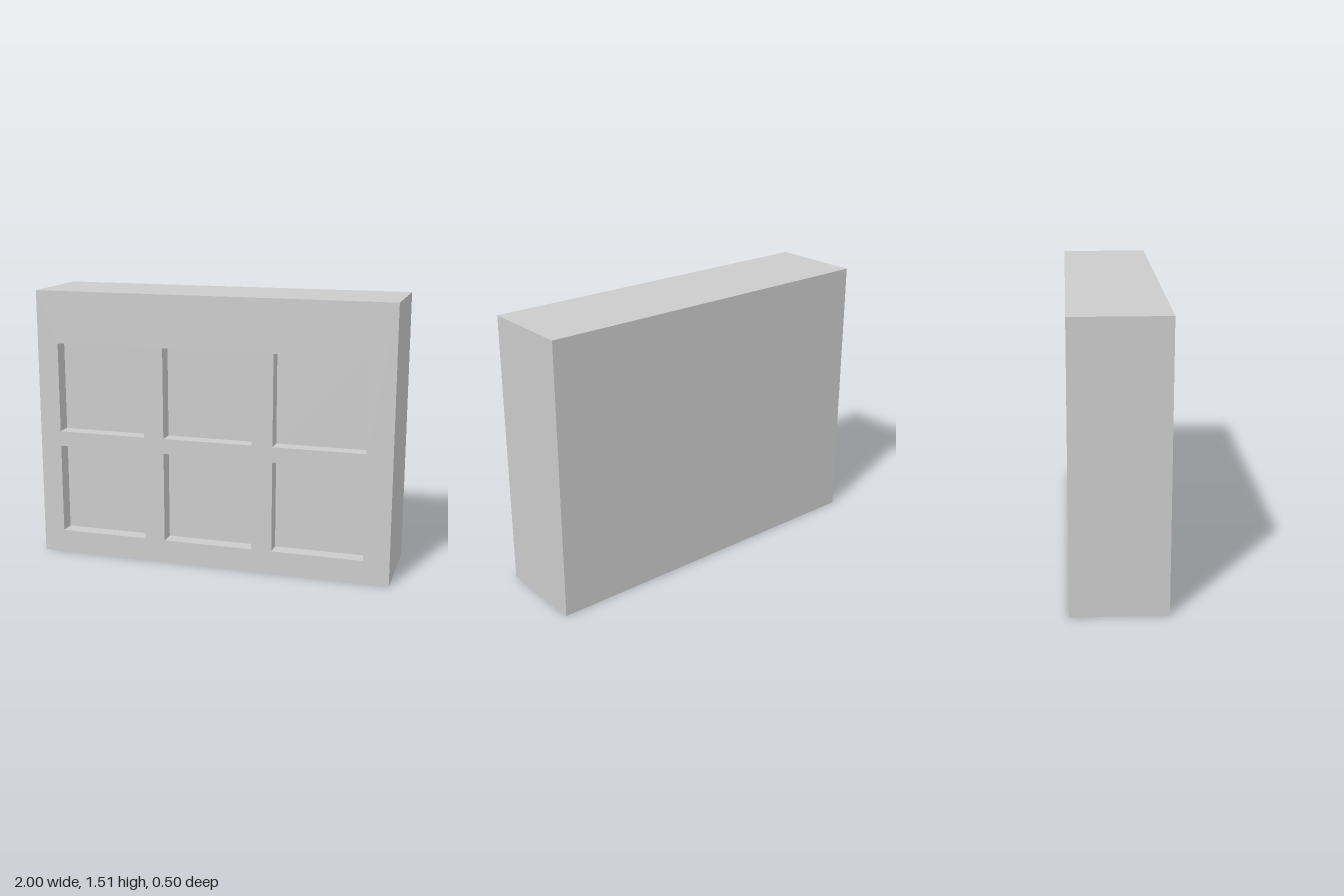
import * as THREE from 'three';
import { mergeGeometries } from 'three/addons/utils/BufferGeometryUtils.js';

const WIDTH = 2, HEIGHT = 1.51, DEPTH = 0.5, FRONT = DEPTH / 2;
const PANE = 0.503, RECESS = 0.085;
const COLUMNS = [-0.629, -0.012, 0.606];
const ROWS = [0.38, 0.968];

// Box with only the listed faces (0..5 = +x, -x, +y, -y, +z, -z), optionally turned inside out
function partialBox(w, h, d, faces, inward = false) {
  const geo = new THREE.BoxGeometry(w, h, d);
  const all = Array.from(geo.index.array);
  const index = faces.flatMap((f) => all.slice(f * 6, f * 6 + 6));
  geo.setIndex(inward ? index.reverse() : index);
  if (inward) geo.computeVertexNormals();
  return geo;
}

function rectangle(target, cx, cy, w, h) {
  target.moveTo(cx - w / 2, cy - h / 2);
  target.lineTo(cx + w / 2, cy - h / 2);
  target.lineTo(cx + w / 2, cy + h / 2);
  target.lineTo(cx - w / 2, cy + h / 2);
  target.closePath();
  return target;
}

export function createModel() {
  const group = new THREE.Group();
  group.name = 'windowBlock';
  const bodyMaterial = new THREE.MeshStandardMaterial({ color: 0xcccccc });
  const paneMaterial = new THREE.MeshStandardMaterial({ color: 0xf3f3f3 });

  // Sides, top, bottom and back of the block
  const parts = [partialBox(WIDTH, HEIGHT, DEPTH, [0, 1, 2, 3, 5]).translate(0, HEIGHT / 2, 0)];
  const front = rectangle(new THREE.Shape(), 0, HEIGHT / 2, WIDTH, HEIGHT);

  ROWS.forEach((y, row) => COLUMNS.forEach((x, column) => {
    // Opening in the front and the walls of its recess
    front.holes.push(rectangle(new THREE.Path(), x, y, PANE, PANE));
    parts.push(partialBox(PANE, PANE, RECESS, [0, 1, 2, 3], true).translate(x, y, FRONT - RECESS / 2));

    // Lighter pane at the bottom of the recess
    const pane = new THREE.Mesh(new THREE.PlaneGeometry(PANE, PANE), paneMaterial);
    pane.name = `pane${row + 1}_${column + 1}`;
    pane.position.set(x, y, FRONT - RECESS);
    group.add(pane);
  }));

  // Front face with six openings
  parts.push(new THREE.ShapeGeometry(front).translate(0, 0, FRONT));

  const body = new THREE.Mesh(mergeGeometries(parts), bodyMaterial);
  body.name = 'body';
  group.add(body);
  return group;
}
